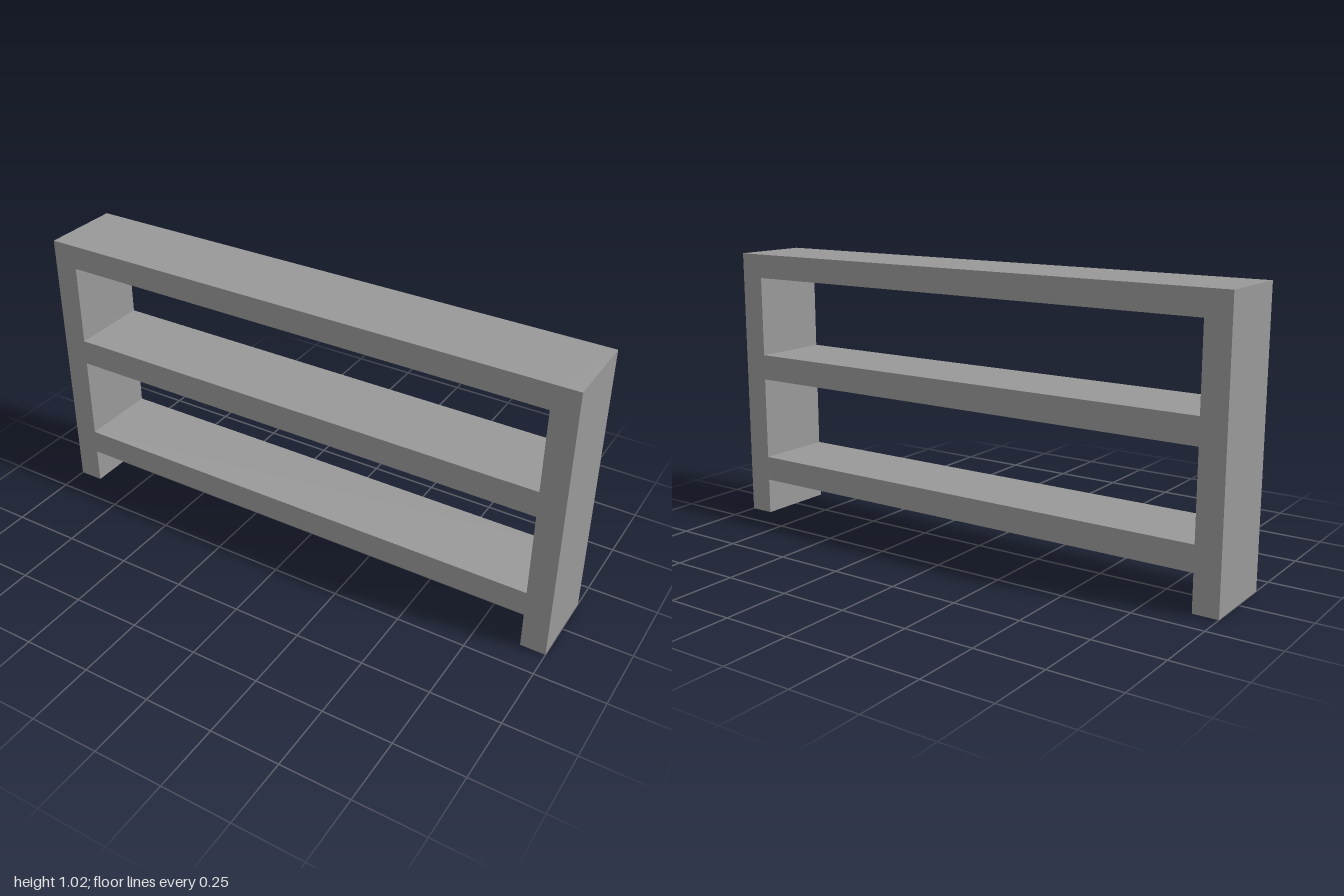
import * as THREE from 'three';

const WIDTH = 2, HEIGHT = 1.017, DEPTH = 0.294, SIDE = 0.091;

export function createModel() {
  const group = new THREE.Group();
  group.name = 'shelfUnit';
  const grey = new THREE.MeshStandardMaterial({ color: 0x999999 });
  grey.name = 'grey';

  // Box given by its centre x, width and bottom/top heights
  function board(name, x, width, bottom, top) {
    const mesh = new THREE.Mesh(new THREE.BoxGeometry(width, top - bottom, DEPTH), grey);
    mesh.name = name;
    mesh.position.set(x, (bottom + top) / 2, 0);
    group.add(mesh);
  }

  // Full-height side panels, which also form the feet
  for (const [name, s] of [['leftSide', 1], ['rightSide', -1]]) {
    board(name, s * (WIDTH - SIDE) / 2, SIDE, 0, HEIGHT);
  }

  // Boards spanning between the sides
  const inner = WIDTH - 2 * SIDE;
  board('topBoard', 0, inner, 0.928, HEIGHT);
  board('middleShelf', 0, inner, 0.536, 0.631);
  board('bottomShelf', 0, inner, 0.134, 0.226);

  return group;
}
